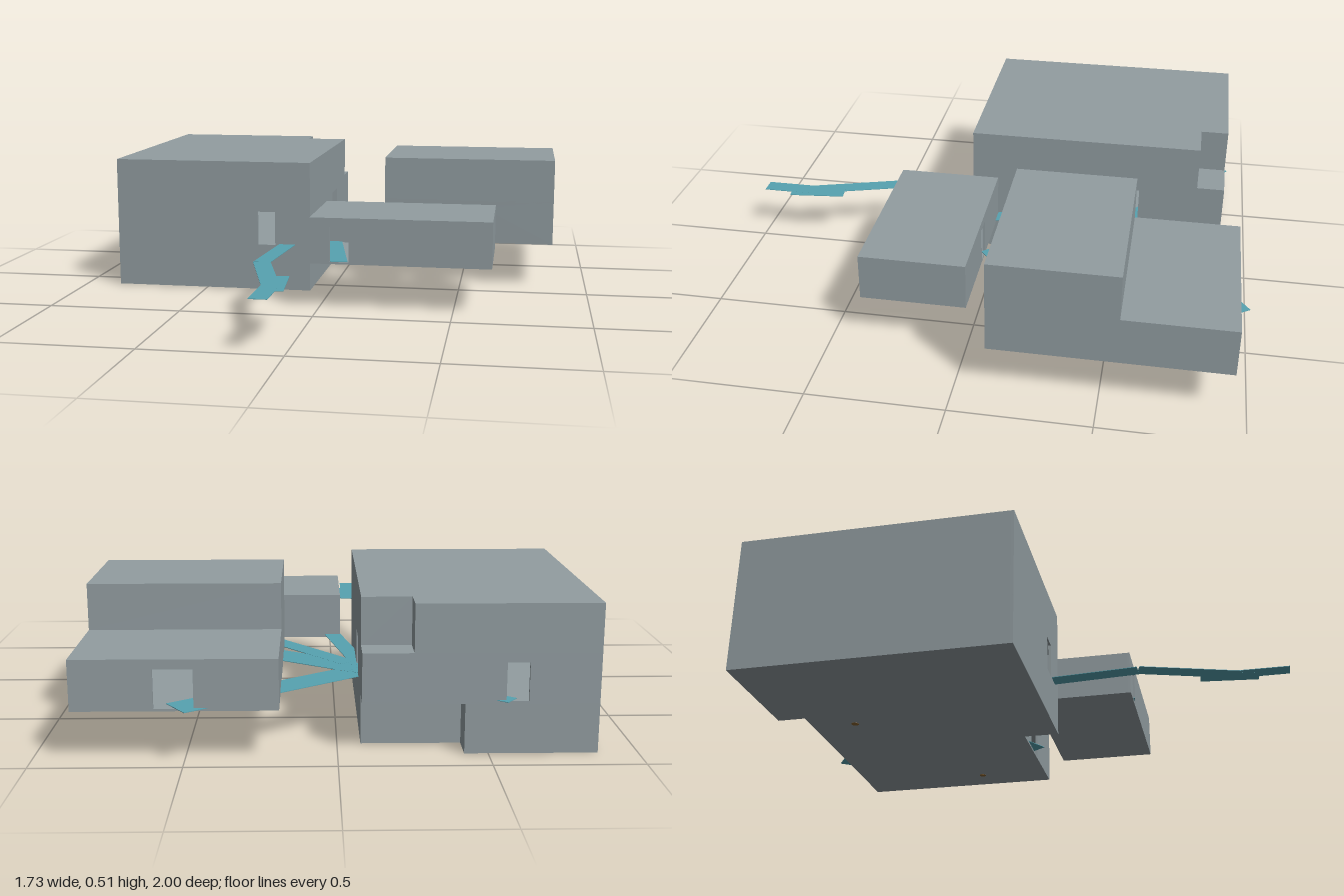
import * as THREE from 'three';

const T = 0.01; // wall and slab thickness

export function createModel() {
  const root = new THREE.Group();
  root.name = 'buildingCluster';
  const stone = new THREE.MeshStandardMaterial({ name: 'grey stone', color: 0x929da1 });
  const paving = new THREE.MeshStandardMaterial({ name: 'teal paving', color: 0x57a3b1 });
  const brass = new THREE.MeshStandardMaterial({ name: 'brown brass', color: 0x8a6430 });

  const add = (parent, name, geometry, material) => {
    const mesh = new THREE.Mesh(geometry, material);
    mesh.name = name;
    parent.add(mesh);
    return mesh;
  };
  const extrude = (points, depth) => new THREE.ExtrudeGeometry(
    new THREE.Shape(points.map(([x, y]) => new THREE.Vector2(x, y))),
    { depth, bevelEnabled: false });

  // Upright wall from a to b; doors are [start, end] distances along it
  function wall(parent, a, b, y0, y1, doors = []) {
    const dx = b[0] - a[0], dz = b[1] - a[1], length = Math.hypot(dx, dz);
    const outline = [[0, 0]];
    for (const [s, e] of doors) outline.push([s, 0], [s, 0.14], [e, 0.14], [e, 0]);
    outline.push([length, 0], [length, y1 - y0], [0, y1 - y0]);
    const geometry = extrude(outline, T);
    geometry.translate(0, 0, -T);
    const mesh = add(parent, 'wall', geometry, stone);
    mesh.position.set(a[0], y0, a[1]);
    mesh.rotation.y = Math.atan2(-dz, dx);
  }

  function slab(parent, name, plan, y) {
    const geometry = extrude(plan.map(([x, z]) => [x, -z]), 0.008);
    geometry.rotateX(-Math.PI / 2);
    add(parent, name, geometry, stone).position.y = y;
  }

  // Hollow storey on a plan of [x, z] corners, starting at the front
  function storey(parent, name, plan, y0, y1, doors = {}) {
    const group = new THREE.Group();
    group.name = name;
    parent.add(group);
    plan.forEach((a, i) => wall(group, a, plan[(i + 1) % plan.length], y0, y1, doors[i]));
    slab(group, 'floor', plan, y0);
    slab(group, 'roof', plan, y1 - 0.008);
  }

  const rect = (x0, x1, z0, z1) => [[x0, z1], [x1, z1], [x1, z0], [x0, z0]];
  // Rectangle with its back +x corner cut away
  const notched = (x0, x1, z0, z1, nx, nz) =>
    [[x0, z1], [x1, z1], [x1, nz], [nx, nz], [nx, z0], [x0, z0]];
  const building = (name) => {
    const group = new THREE.Group();
    group.name = name;
    root.add(group);
    return group;
  };

  // Large three-storey building
  const main = building('mainBuilding');
  storey(main, 'lowerStorey', notched(-0.865, -0.08, -0.89, 0.11, -0.42, -0.785), 0, 0.172);
  storey(main, 'middleStorey', rect(-0.865, -0.08, -0.89, 0.11), 0.172, 0.345,
    { 0: [[0.575, 0.645]], 1: [[0.54, 0.67]], 2: [[0.475, 0.55]] });
  storey(main, 'upperStorey', notched(-0.865, -0.08, -0.89, 0.11, -0.25, -0.785), 0.345, 0.51);

  // Two-storey building at the back
  const rear = building('rearBuilding');
  storey(rear, 'lowerStorey', rect(0.19, 0.865, -0.95, -0.11), 0.172, 0.345,
    { 0: [[0.27, 0.4]], 2: [[0.27, 0.4]] });
  storey(rear, 'upperStorey', rect(0.19, 0.865, -0.56, -0.11), 0.345, 0.51);

  // Single-storey building at the front
  const front = building('frontBuilding');
  storey(front, 'storey', rect(-0.03, 0.64, 0, 0.39), 0.172, 0.345,
    { 0: [[0.075, 0.145]], 2: [[0.31, 0.38]] });

  // Flat paths: start x, z, end x, z, width
  const paths = building('paths');
  [
    [-0.04, -0.555, 0.525, -0.95, 0.12],
    [-0.08, -0.485, 0.52, -0.11, 0.125],
    [-0.095, -0.45, 0.08, 0.39, 0.063],
    [-0.05, -0.42, 0.3, -0.01, 0.07],
    [-0.08, -0.52, -0.575, -0.89, 0.06],
    [-0.125, -0.5, -0.197, 0.44, 0.064],
    [-0.2, 0.44, -0.085, 0.81, 0.064],
    [-0.082, 0.665, -0.058, 0.885, 0.064],
    [-0.086, 0.8, -0.086, 1.0, 0.064],
  ].forEach(([x0, z0, x1, z1, width], i) => {
    const length = Math.hypot(x1 - x0, z1 - z0);
    const mesh = add(paths, 'path', new THREE.BoxGeometry(width, 0.002, length), paving);
    mesh.position.set((x0 + x1) / 2, 0.182 + i * 0.0002, (z0 + z1) / 2);
    mesh.rotation.y = Math.atan2(x1 - x0, z1 - z0);
  });
  // Hub joining the paths beside the main building
  add(paths, 'pathHub', new THREE.BoxGeometry(0.07, 0.002, 0.2), paving)
    .position.set(-0.06, 0.1815, -0.5);

  // Small studs under the floors
  for (const [x, y, z] of [[0.745, 0.172, -0.4], [-0.333, 0, -0.62]]) {
    add(root, 'floorStud', new THREE.CylinderGeometry(0.015, 0.015, 0.004, 8), brass)
      .position.set(x, y + 0.001, z);
  }

  return root;
}
